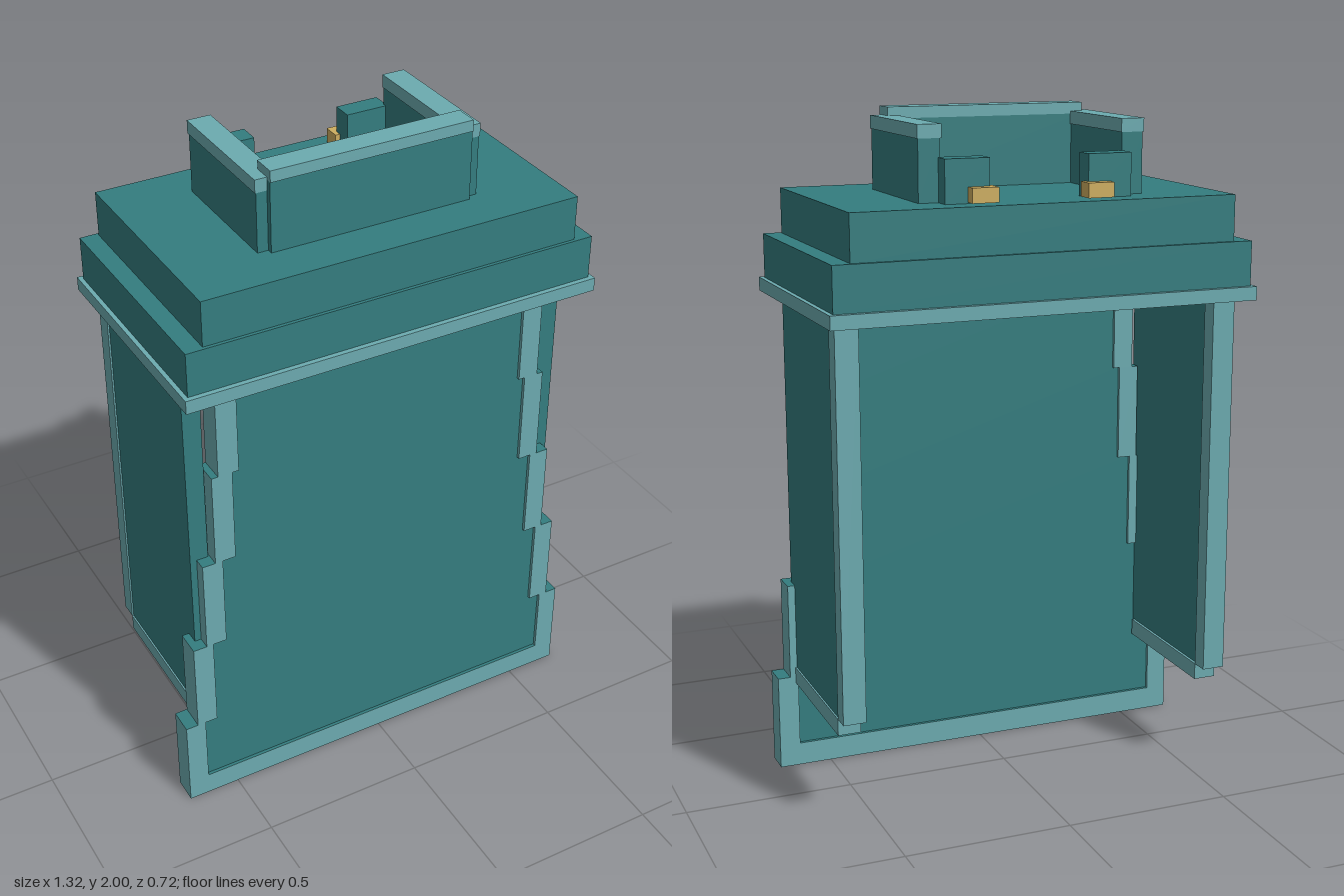
import * as THREE from 'three';

export function createModel() {
  const model = new THREE.Group();
  const mat = (name, color) => {
    const m = new THREE.MeshStandardMaterial({ color });
    m.name = name;
    return m;
  };
  const teal = mat('deep teal', 0x347d7f);
  const pale = mat('pale teal', 0x6cabb0);
  const gold = mat('gold', 0xceae60);
  // pale sides with deep teal top and bottom faces
  const edged = [pale, pale, teal, teal, pale, pale];

  // box given by its limits on each axis
  const box = (name, material, [x0, x1], [y0, y1], [z0, z1]) => {
    const mesh = new THREE.Mesh(new THREE.BoxGeometry(x1 - x0, y1 - y0, z1 - z0), material);
    mesh.position.set((x0 + x1) / 2, (y0 + y1) / 2, (z0 + z1) / 2);
    mesh.name = name;
    model.add(mesh);
  };
  // the same box on the left and right
  const pair = (name, material, [x0, x1], y, z) => {
    box(name + 'Left', material, [x0, x1], y, z);
    box(name + 'Right', material, [-x1, -x0], y, z);
  };

  // stepped front panel with a raised border
  const halfWidths = [0.66, 0.622, 0.58, 0.54, 0.52];
  const levels = [0, 0.29, 0.582, 0.875, 1.168, 1.46];
  const border = 0.063;
  halfWidths.forEach((w, i) => {
    const inner = w - border;
    const y = [levels[i], levels[i + 1]];
    pair('frontBorder' + i, edged, [inner, w], y, [0.2, 0.278]);
    box('frontPanel' + i, teal, [-inner, inner], [i ? y[0] : 0.07, y[1]], [0.21, 0.268]);
  });
  box('frontBottomBorder', edged, [-0.597, 0.597], [0, 0.07], [0.2, 0.278]);

  // side panels with back and bottom borders
  pair('sidePanel', teal, [0.545, 0.6], [0.32, 1.46], [-0.235, 0.24]);
  pair('sideBackBorder', pale, [0.537, 0.605], [0.32, 1.46], [-0.288, -0.235]);
  pair('sideBottomBorder', pale, [0.537, 0.605], [0.27, 0.32], [-0.235, 0.2]);

  // tiered top
  box('topRim', pale, [-0.637, 0.637], [1.46, 1.5], [-0.358, 0.358]);
  box('lowerTier', teal, [-0.624, 0.624], [1.5, 1.63], [-0.343, 0.343]);
  box('upperTier', teal, [-0.571, 0.571], [1.63, 1.763], [-0.333, 0.333]);

  // parapet, open at the back
  box('parapetFront', teal, [-0.304, 0.304], [1.763, 1.967], [0.137, 0.202]);
  box('parapetFrontCap', pale, [-0.304, 0.304], [1.967, 2], [0.134, 0.205]);
  pair('parapetSide', teal, [0.272, 0.336], [1.763, 1.937], [-0.21, 0.185]);
  pair('parapetSideCap', pale, [0.269, 0.339], [1.937, 1.975], [-0.213, 0.186]);

  // small blocks and gold latches at the opening
  pair('block', teal, [0.147, 0.278], [1.763, 1.885], [-0.26, -0.197]);
  pair('latch', gold, [0.133, 0.211], [1.766, 1.808], [-0.292, -0.24]);

  return model;
}
